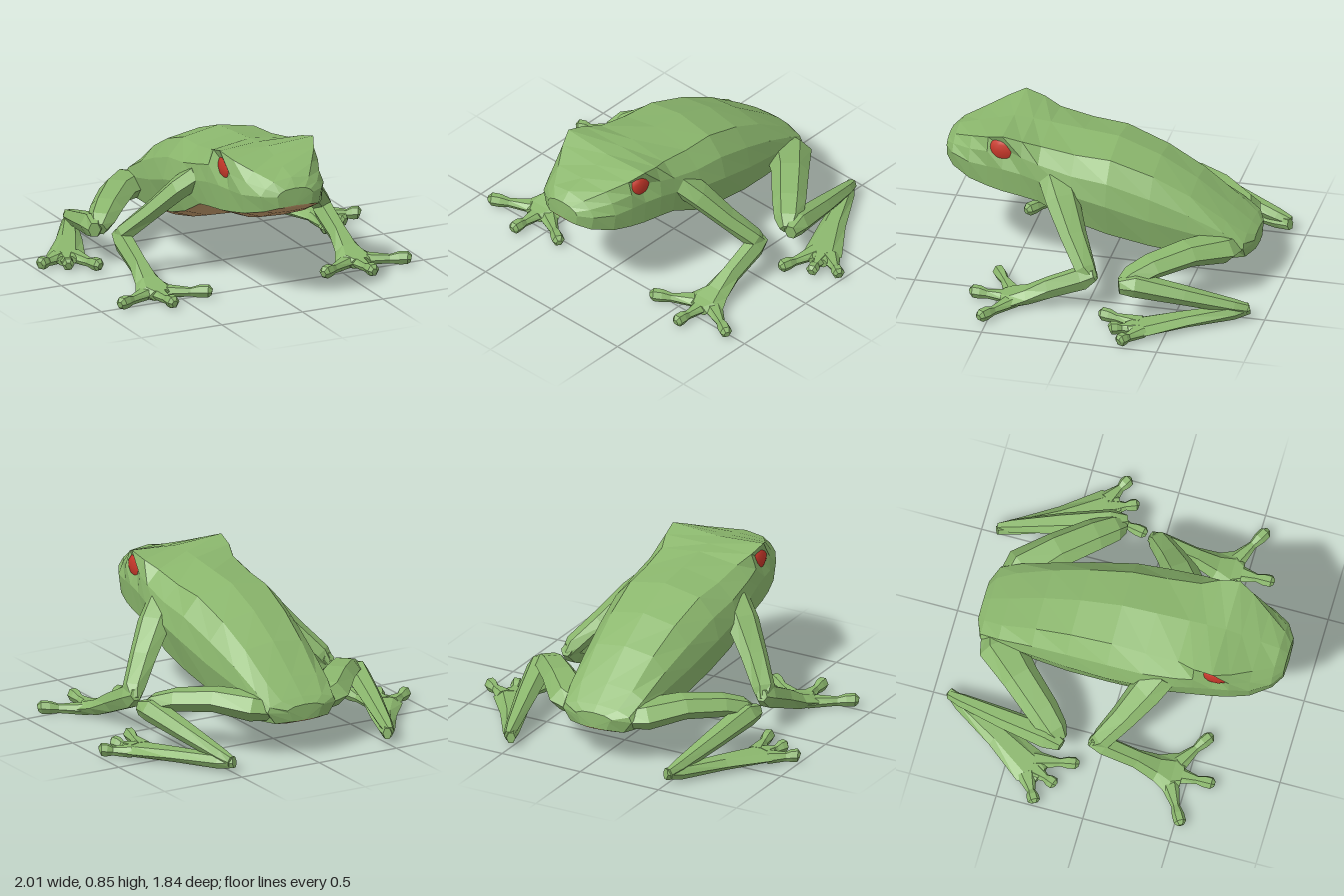
import * as THREE from 'three';

const mat = (name, color) => Object.assign(new THREE.MeshStandardMaterial({ color }), { name });
const V = (x, y, z) => new THREE.Vector3(x, y, z);
const lerp = THREE.MathUtils.lerp;

// Faceted skin over rows of points
function skin(rows) {
  const pos = [], tri = new THREE.Triangle();
  const add = (a, b, c) => {
    if (tri.set(a, b, c).getArea() > 1e-7) pos.push(...a.toArray(), ...b.toArray(), ...c.toArray());
  };
  for (let i = 0; i < rows.length - 1; i++) {
    for (let j = 0; j < rows[i].length - 1; j++) {
      const a = rows[i][j], b = rows[i + 1][j], c = rows[i][j + 1], d = rows[i + 1][j + 1];
      add(a, b, c);
      add(c, b, d);
    }
  }
  const g = new THREE.BufferGeometry();
  g.setAttribute('position', new THREE.Float32BufferAttribute(pos, 3));
  g.computeVertexNormals();
  return g;
}

// Limb through stations [x, y, z, half width, half height], closed at both ends
function limb(stations, side, sides = 6) {
  const p = stations.map(([x, y, z]) => V(x * side, y, z));
  const rows = p.map((c, i) => {
    const t = p[Math.min(i + 1, p.length - 1)].clone().sub(p[Math.max(i - 1, 0)]).normalize();
    const s = t.clone().cross(V(0, 1, 0)).normalize();
    const u = s.clone().cross(t);
    const [, , , w, h] = stations[i];
    return Array.from({ length: sides + 1 }, (_, k) => {
      const a = (k % sides) / sides * Math.PI * 2;
      return c.clone().addScaledVector(s, Math.cos(a) * w).addScaledVector(u, Math.sin(a) * h);
    });
  });
  const cap = c => Array(sides + 1).fill(c);
  return skin([cap(p[0]), ...rows, cap(p[p.length - 1])]);
}

// Body stations: z, top y, back half width, back edge y, side half width, side y,
// seam half width, seam y, bottom y
const BODY = [
  [0.91, 0.71, 0.06, 0.705, 0.11, 0.67, 0.10, 0.605, 0.60],
  [0.86, 0.76, 0.11, 0.745, 0.19, 0.67, 0.17, 0.58, 0.56],
  [0.75, 0.79, 0.18, 0.785, 0.255, 0.66, 0.24, 0.55, 0.505],
  [0.64, 0.82, 0.25, 0.828, 0.28, 0.66, 0.27, 0.53, 0.47],
  [0.55, 0.845, 0.29, 0.863, 0.297, 0.66, 0.285, 0.515, 0.455],
  [0.44, 0.84, 0.275, 0.835, 0.315, 0.65, 0.30, 0.505, 0.45],
  [0.34, 0.83, 0.24, 0.80, 0.33, 0.63, 0.31, 0.49, 0.465],
  [0.15, 0.81, 0.23, 0.765, 0.352, 0.57, 0.31, 0.39, 0.335],
  [-0.05, 0.79, 0.22, 0.75, 0.345, 0.52, 0.29, 0.32, 0.265],
  [-0.29, 0.70, 0.20, 0.665, 0.31, 0.44, 0.27, 0.265, 0.20],
  [-0.50, 0.58, 0.18, 0.555, 0.275, 0.38, 0.24, 0.23, 0.172],
  [-0.70, 0.43, 0.16, 0.415, 0.245, 0.33, 0.21, 0.205, 0.18],
  [-0.81, 0.345, 0.13, 0.335, 0.22, 0.28, 0.17, 0.21, 0.20],
  [-0.85, 0.31, 0.07, 0.305, 0.10, 0.27, 0.08, 0.22, 0.215],
];

function bodyRows() {
  const back = [], belly = [];
  for (const [z, ty, bw, by, sw, sy, mw, my, ly] of BODY) {
    // flank bulges, but sinks into a socket beside the eye
    const socket = z > 0.5 && z < 0.6;
    const half = [
      V(mw, my, z), V(sw, sy, z),
      V(socket ? 0.255 : (bw + sw) / 2 + (z > 0.4 ? 0.01 : 0.03), lerp(by, sy, 0.45), z), V(bw, by, z),
    ];
    const under = [V(mw * 0.55, lerp(ly, my, 0.15), z), V(0, ly, z)];
    const flip = v => V(-v.x, v.y, v.z);
    back.push([...half, V(0, ty, z), ...half.map(flip).reverse()]);
    belly.push([flip(half[0]), flip(under[0]), under[1], under[0], half[0]]);
  }
  for (const rows of [back, belly]) {
    rows.unshift(rows[0].map(() => V(0, 0.61, 0.915)));
    rows.push(rows[0].map(() => V(0, 0.222, -0.855)));
  }
  return { back, belly };
}

// Toe with a swollen tip
const toe = (x0, z0, x1, z1) => {
  const at = (t, w, h, y) => [lerp(x0, x1, t), y, lerp(z0, z1, t), w, h];
  return [at(0, 0.06, 0.036, 0.042), at(0.58, 0.024, 0.027, 0.042), at(0.76, 0.035, 0.038, 0.048),
    at(0.93, 0.035, 0.038, 0.05), at(1, 0.018, 0.02, 0.046)];
};

const LIMBS = {
  upperArm: [[0.27, 0.63, 0.25, 0.1, 0.07], [0.36, 0.55, 0.19, 0.1, 0.065],
    [0.49, 0.4, 0.095, 0.08, 0.055], [0.605, 0.265, 0, 0.065, 0.055], [0.63, 0.215, -0.045, 0.035, 0.035]],
  forearm: [[0.625, 0.245, -0.06, 0.035, 0.035], [0.62, 0.215, 0.01, 0.058, 0.07],
    [0.62, 0.13, 0.2, 0.055, 0.062], [0.62, 0.07, 0.32, 0.08, 0.05],
    [0.62, 0.045, 0.41, 0.125, 0.042], [0.62, 0.04, 0.47, 0.07, 0.034]],
  outerFinger: toe(0.66, 0.40, 0.905, 0.54),
  middleFinger: toe(0.62, 0.42, 0.62, 0.655),
  innerFinger: toe(0.58, 0.41, 0.345, 0.565),
  thigh: [[0.14, 0.27, -0.72, 0.1, 0.06], [0.24, 0.29, -0.68, 0.13, 0.08],
    [0.39, 0.315, -0.53, 0.105, 0.07], [0.54, 0.29, -0.36, 0.095, 0.065],
    [0.62, 0.25, -0.27, 0.08, 0.065], [0.655, 0.22, -0.225, 0.045, 0.045]],
  shin: [[0.69, 0.225, -0.21, 0.035, 0.045], [0.66, 0.23, -0.29, 0.075, 0.07],
    [0.60, 0.165, -0.56, 0.062, 0.055], [0.535, 0.095, -0.83, 0.04, 0.042],
    [0.515, 0.075, -0.905, 0.025, 0.035]],
  foot: [[0.495, 0.07, -0.91, 0.025, 0.035], [0.54, 0.06, -0.83, 0.045, 0.042],
    [0.665, 0.05, -0.58, 0.075, 0.038], [0.795, 0.042, -0.36, 0.11, 0.034],
    [0.825, 0.04, -0.29, 0.065, 0.03]],
  outerToe: toe(0.84, -0.37, 0.995, -0.28),
  middleToe: toe(0.80, -0.35, 0.86, -0.195),
  innerToe: toe(0.75, -0.35, 0.705, -0.105),
};

export function createModel() {
  const green = mat('skin green', 0x8bb76d);
  const brown = mat('belly brown', 0xc49b6b);
  const red = mat('eye red', 0xc8382a);
  const model = new THREE.Group();
  const put = (name, geometry, material) => {
    const m = new THREE.Mesh(geometry, material);
    m.name = name;
    model.add(m);
    return m;
  };

  const { back, belly } = bodyRows();
  put('headAndBack', skin(back), green);
  put('belly', skin(belly), brown);

  for (const [label, side] of [['left', 1], ['right', -1]]) {
    for (const [name, stations] of Object.entries(LIMBS)) {
      put(`${label} ${name}`, limb(stations, side), green);
    }
    // Faceted eye under the brow
    const eye = put(`${label} eye`, new THREE.IcosahedronGeometry(0.084, 1), red);
    eye.position.set(0.25 * side, 0.762, 0.553);
    eye.scale.set(0.43 * side, 0.9, 1);
  }
  return model;
}
